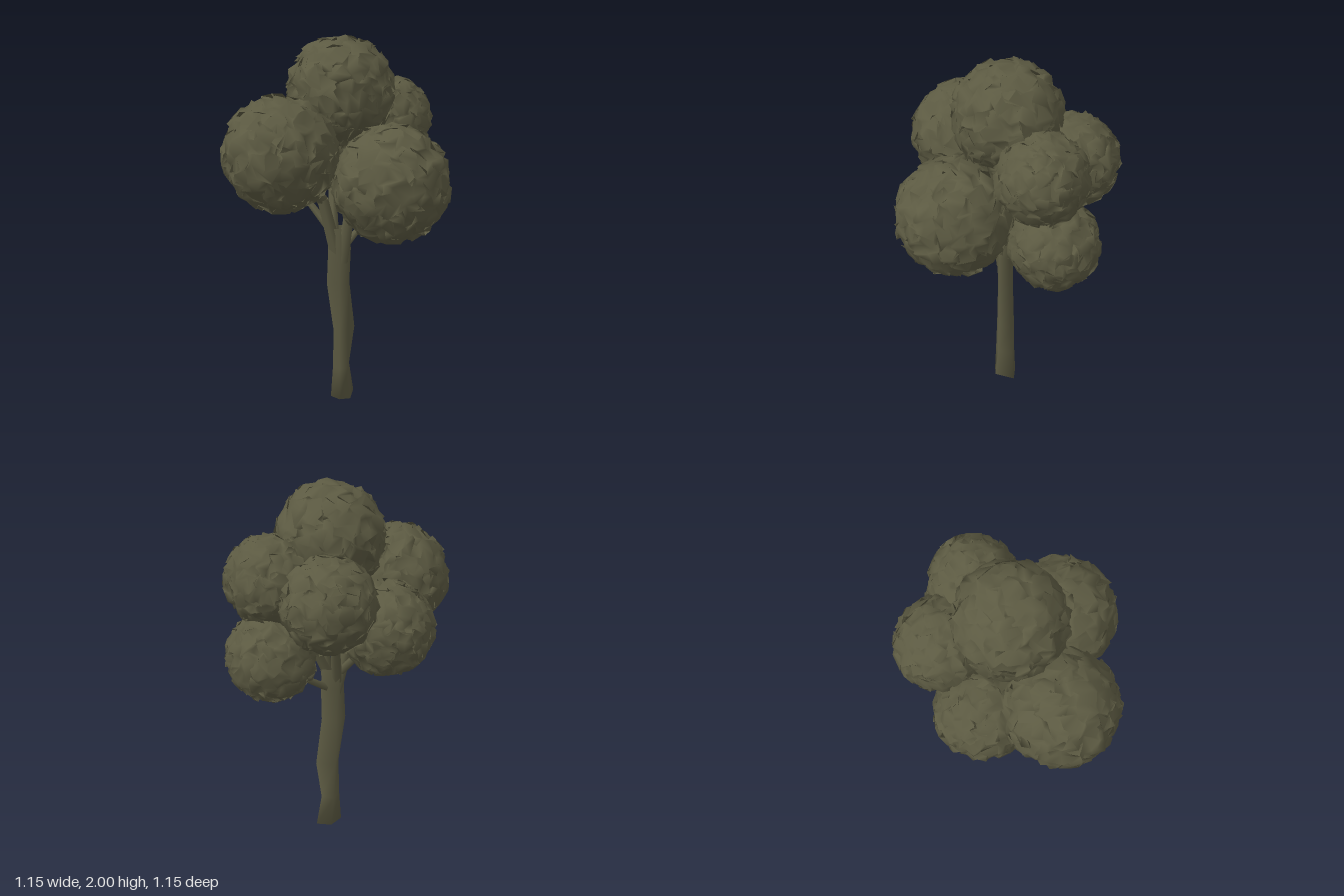
import * as THREE from 'three';
import { mergeVertices } from 'three/addons/utils/BufferGeometryUtils.js';

const olive = new THREE.MeshStandardMaterial({ color: 0x5c5a42, side: THREE.DoubleSide });
olive.name = 'olive';

// Seeded random numbers in the range -1 to 1
function seeded(seed) {
  let s = seed;
  return () => {
    s = (s * 16807) % 2147483647;
    return (s / 2147483647) * 2 - 1;
  };
}

// Leafy ball: a sphere whose shared corners are pushed about to give crumpled flaps
function leafBall(name, x, y, z, radius, seed) {
  const rand = seeded(seed);
  let geo = new THREE.IcosahedronGeometry(1, 9);
  geo.deleteAttribute('normal');
  geo.deleteAttribute('uv');
  geo = mergeVertices(geo, 1e-4);
  const pos = geo.attributes.position;
  const v = new THREE.Vector3();
  const shift = new THREE.Vector3();
  for (let i = 0; i < pos.count; i++) {
    v.fromBufferAttribute(pos, i);
    shift.set(rand(), rand(), rand()).multiplyScalar(0.125);
    shift.addScaledVector(v, -shift.dot(v));
    v.multiplyScalar(0.96 + 0.065 * rand()).add(shift).multiplyScalar(radius);
    pos.setXYZ(i, v.x, v.y, v.z);
  }
  geo.computeVertexNormals();
  const mesh = new THREE.Mesh(geo, olive);
  mesh.name = name;
  mesh.position.set(x, y, z);
  return mesh;
}

// Trunk: gnarled five-cornered rings, each a height and its corners [x, z]
function makeTrunk() {
  const rings = [
    [0, [[0.075, -0.06], [0.06, 0.055], [0, 0.07], [-0.05, 0.03], [-0.01, -0.052]]],
    [0.18, [[0.05, -0.04], [0.048, 0.04], [0, 0.062], [-0.038, 0.03], [-0.022, -0.042]]],
    [0.4, [[0.08, -0.042], [0.045, 0.035], [0, 0.054], [-0.034, 0.027], [-0.03, -0.038]]],
    [0.68, [[0.05, -0.025], [0.052, 0.032], [0, 0.047], [-0.07, 0.037], [-0.035, -0.03]]],
    [0.88, [[0.052, -0.032], [0.06, 0.03], [0, 0.055], [-0.062, 0.03], [-0.045, -0.033]]],
    [0.99, [[0.045, -0.04], [0.045, 0.03], [0, 0.05], [-0.062, 0.04], [-0.058, -0.032]]],
  ];
  const sides = 5;
  const points = rings.flatMap(([y, corners]) => corners.flatMap(([x, z]) => [x, y, z]));
  const faces = [0, 1, 2, 0, 2, 3, 0, 3, 4];
  for (let j = 1; j < rings.length; j++) {
    for (let i = 0; i < sides; i++) {
      const n = (i + 1) % sides;
      const low = (j - 1) * sides;
      const high = j * sides;
      faces.push(low + i, high + i, low + n, low + n, high + i, high + n);
    }
  }
  const geo = new THREE.BufferGeometry();
  geo.setAttribute('position', new THREE.Float32BufferAttribute(points, 3));
  geo.setIndex(faces);
  geo.computeVertexNormals();
  const mesh = new THREE.Mesh(geo, olive);
  mesh.name = 'trunk';
  return mesh;
}

// Tapered branch between two points
function branch(name, from, to, r0, r1) {
  const a = new THREE.Vector3(...from);
  const b = new THREE.Vector3(...to);
  const dir = b.clone().sub(a);
  const mesh = new THREE.Mesh(new THREE.CylinderGeometry(r1, r0, dir.length(), 6), olive);
  mesh.name = name;
  mesh.position.copy(a).add(b).multiplyScalar(0.5);
  mesh.quaternion.setFromUnitVectors(new THREE.Vector3(0, 1, 0), dir.normalize());
  return mesh;
}

export function createModel() {
  const tree = new THREE.Group();
  tree.name = 'tree';
  tree.add(makeTrunk());

  // Two main forks, then the thinner branches reaching into the other leaf balls
  tree.add(
    branch('rightFork', [-0.018, 0.84, 0.01], [-0.09, 1.15, 0.035], 0.038, 0.032),
    branch('rightForkTip', [-0.09, 1.14, 0.03], [-0.2, 1.35, 0.18], 0.032, 0.02),
    branch('leftFork', [0.012, 0.8, 0.016], [0.062, 1.15, 0.045], 0.036, 0.03),
    branch('leftForkTip', [0.06, 1.14, 0.04], [0.14, 1.3, 0.13], 0.03, 0.02),
    branch('backLeftLowBranch', [0.02, 0.87, -0.01], [0.2, 1.05, -0.22], 0.022, 0.014),
    branch('backLeftHighBranch', [0.02, 0.95, 0], [0.2, 1.45, -0.16], 0.026, 0.018),
    branch('backRightBranch', [-0.04, 0.96, 0.01], [-0.24, 1.2, -0.08], 0.024, 0.016),
    branch('backBranch', [-0.03, 0.92, -0.002], [-0.06, 1.4, -0.22], 0.03, 0.02),
  );

  // Crown
  [
    ['topLeaves', 0.003, 1.72, -0.008, 0.284],
    ['frontRightLeaves', -0.285, 1.44, 0.28, 0.292],
    ['frontLeftLeaves', 0.268, 1.278, 0.21, 0.303],
    ['backRightLeaves', -0.312, 1.29, -0.1, 0.247],
    ['backLeaves', -0.06, 1.475, -0.33, 0.244],
    ['backLeftHighLeaves', 0.262, 1.545, -0.225, 0.232],
    ['backLeftLowLeaves', 0.245, 1.16, -0.29, 0.238],
  ].forEach(([name, x, y, z, r], i) => tree.add(leafBall(name, x, y, z, r, 1234 + i * 977)));

  return tree;
}
